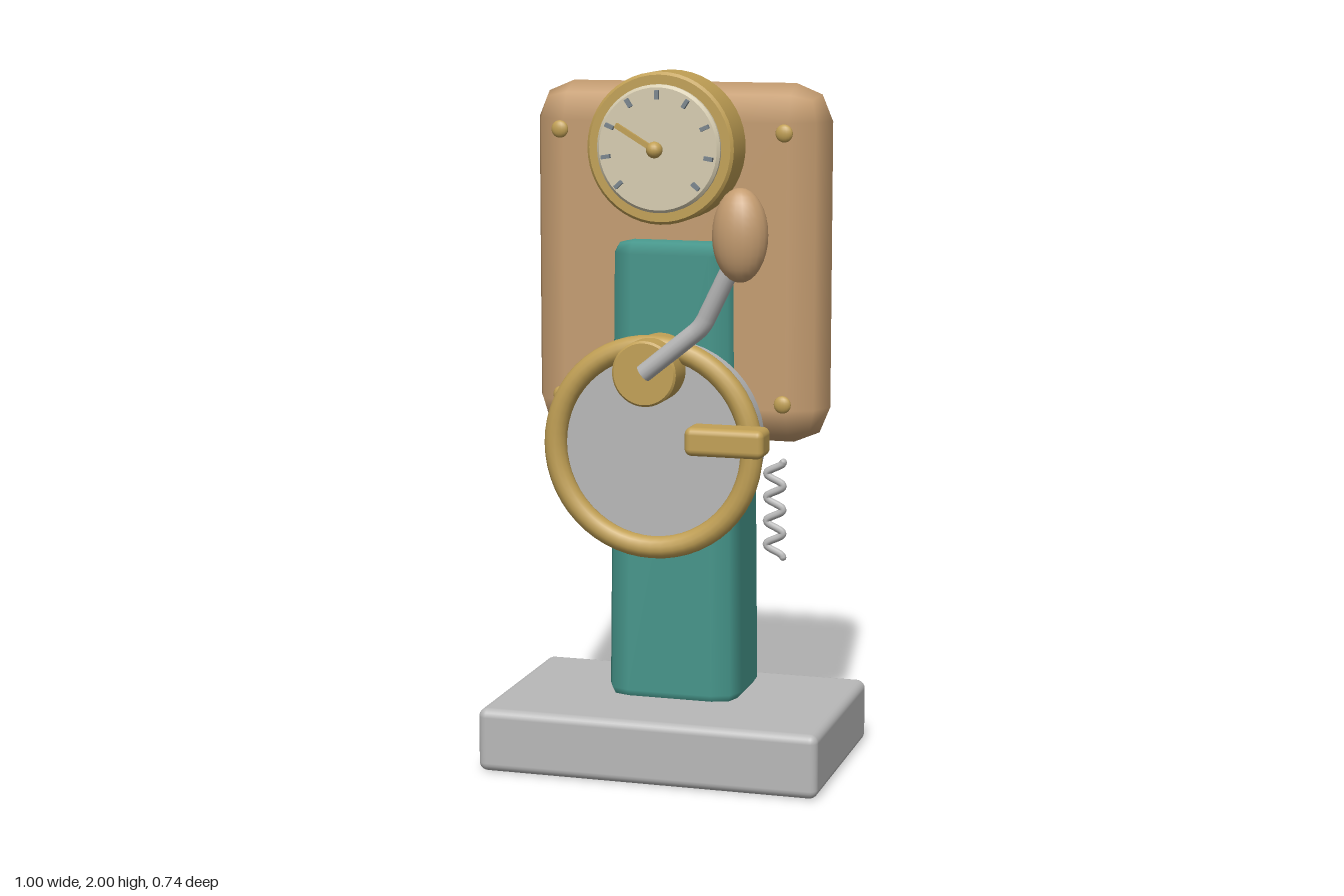
import * as THREE from 'three';
import { toCreasedNormals } from 'three/addons/utils/BufferGeometryUtils.js';
import { RoundedBoxGeometry } from 'three/addons/geometries/RoundedBoxGeometry.js';

const paint = (name, color) => {
  const m = new THREE.MeshStandardMaterial({ color });
  m.name = name;
  return m;
};

// Bevelled disc lying along z, from z0 to z1
function disc(r, z0, z1, bevel) {
  const pts = [[0, z0], [r - bevel, z0], [r, z0 + bevel], [r, z1 - bevel], [r - bevel, z1], [0, z1]]
    .map(([x, y]) => new THREE.Vector2(x, y));
  const g = new THREE.LatheGeometry(pts, 48);
  g.rotateX(Math.PI / 2);
  return toCreasedNormals(g, 0.6);
}

export function createModel() {
  const model = new THREE.Group();
  model.name = 'leverMachine';

  const steel = paint('steel', 0xb8b8b8);
  const brass = paint('brass', 0xc1a055);
  const wood = paint('tan', 0xc49c70);
  const teal = paint('teal', 0x45958a);
  const cream = paint('cream', 0xd6ccb0);
  const slate = paint('slate', 0x7a858d);

  const add = (name, geometry, material, x = 0, y = 0, z = 0, parent = model) => {
    const mesh = new THREE.Mesh(geometry, material);
    mesh.name = name;
    mesh.position.set(x, y, z);
    parent.add(mesh);
    return mesh;
  };

  // Base
  add('base', new RoundedBoxGeometry(1, 0.185, 0.64, 3, 0.025), steel, 0, 0.0925, -0.05);

  // Column, narrowing slightly towards the top
  const columnHeight = 1.365;
  const column = new RoundedBoxGeometry(0.4, columnHeight / 0.6, 0.325, 1, 0.075);
  column.scale(1, 0.6, 1);
  const p = column.attributes.position;
  for (let i = 0; i < p.count; i++) {
    p.setX(i, p.getX(i) * (0.96 - 0.08 * p.getY(i) / columnHeight));
  }
  add('column', column, teal, 0, 0.16 + columnHeight / 2, -0.143);

  // Back panel with thick rounded edges
  add('backPanel', new RoundedBoxGeometry(0.87, 1.025, 0.214, 1, 0.106), wood, 0, 1.448, -0.137);

  // Panel bolts
  for (const x of [-0.328, 0.328]) {
    for (const y of [1.065, 1.828]) {
      const bolt = new THREE.SphereGeometry(0.025, 16, 12);
      bolt.scale(1, 1, 0.56);
      add('panelBolt', bolt, brass, x, y, 0);
    }
  }

  // Dial
  const dial = new THREE.Group();
  dial.name = 'dial';
  dial.position.set(0, 1.787, 0);
  model.add(dial);
  add('dialCase', disc(0.212, -0.03, 0.112, 0.008), brass, 0, 0, 0, dial);
  add('dialFace', disc(0.178, 0.1, 0.13, 0.008), cream, 0, 0, 0, dial);
  for (let i = -4; i <= 4; i++) {
    const a = i * THREE.MathUtils.degToRad(33);
    const tick = add('dialTick', new THREE.BoxGeometry(0.011, 0.025, 0.016), slate,
      Math.sin(a) * 0.15, Math.cos(a) * 0.15, 0.136, dial);
    tick.rotation.z = -a;
  }
  const needle = add('dialNeedle', new THREE.BoxGeometry(0.014, 0.13, 0.014), brass, -0.055, 0.033, 0.162, dial);
  needle.rotation.z = Math.atan2(0.055, 0.033);
  add('needleHub', new THREE.SphereGeometry(0.023, 16, 12), brass, 0, 0, 0.16, dial);

  // Drum with a rim around its front
  add('drum', disc(0.284, 0.013, 0.165, 0.01), steel, 0, 0.958, 0);
  add('drumRim', new THREE.TorusGeometry(0.286, 0.032, 14, 56), brass, 0, 0.958, 0.178);

  // Crank: hub, bent arm and knob
  add('crankHub', disc(0.092, 0.085, 0.268, 0.006), brass, 0, 1.178, 0);
  const arm = new THREE.CurvePath();
  const a = new THREE.Vector3(0, 1.18, 0.265);
  const b = new THREE.Vector3(0.155, 1.305, 0.273);
  const elbow = new THREE.Vector3(0.172, 1.32, 0.275);
  const c = new THREE.Vector3(0.183, 1.342, 0.277);
  const d = new THREE.Vector3(0.265, 1.5, 0.3);
  arm.add(new THREE.LineCurve3(a, b));
  arm.add(new THREE.QuadraticBezierCurve3(b, elbow, c));
  arm.add(new THREE.LineCurve3(c, d));
  add('crankArm', new THREE.TubeGeometry(arm, 40, 0.026, 14), steel);
  const cap = new THREE.CircleGeometry(0.026, 14);
  cap.lookAt(a.clone().sub(b));
  add('crankArmEnd', cap, steel, a.x, a.y, a.z);
  const knob = new THREE.SphereGeometry(1, 20, 16);
  knob.scale(0.077, 0.128, 0.063);
  add('crankKnob', knob, wood, 0.285, 1.575, 0.307);

  // Grip block in front of the drum
  add('gripBlock', new RoundedBoxGeometry(0.224, 0.08, 0.098, 3, 0.02), brass, 0.243, 1.005, 0.278);

  // Wavy spring
  const wave = [];
  for (let i = 0; i <= 48; i++) {
    const t = i / 48;
    wave.push(new THREE.Vector3(0.342 + 0.024 * Math.cos(t * Math.PI * 8), 0.927 - 0.27 * t, 0.134));
  }
  const springCurve = new THREE.CatmullRomCurve3(wave);
  add('spring', new THREE.TubeGeometry(springCurve, 120, 0.0105, 8), steel);
  for (const end of [wave[0], wave[48]]) {
    add('springEnd', new THREE.SphereGeometry(0.0105, 8, 6), steel, end.x, end.y, end.z);
  }

  return model;
}
